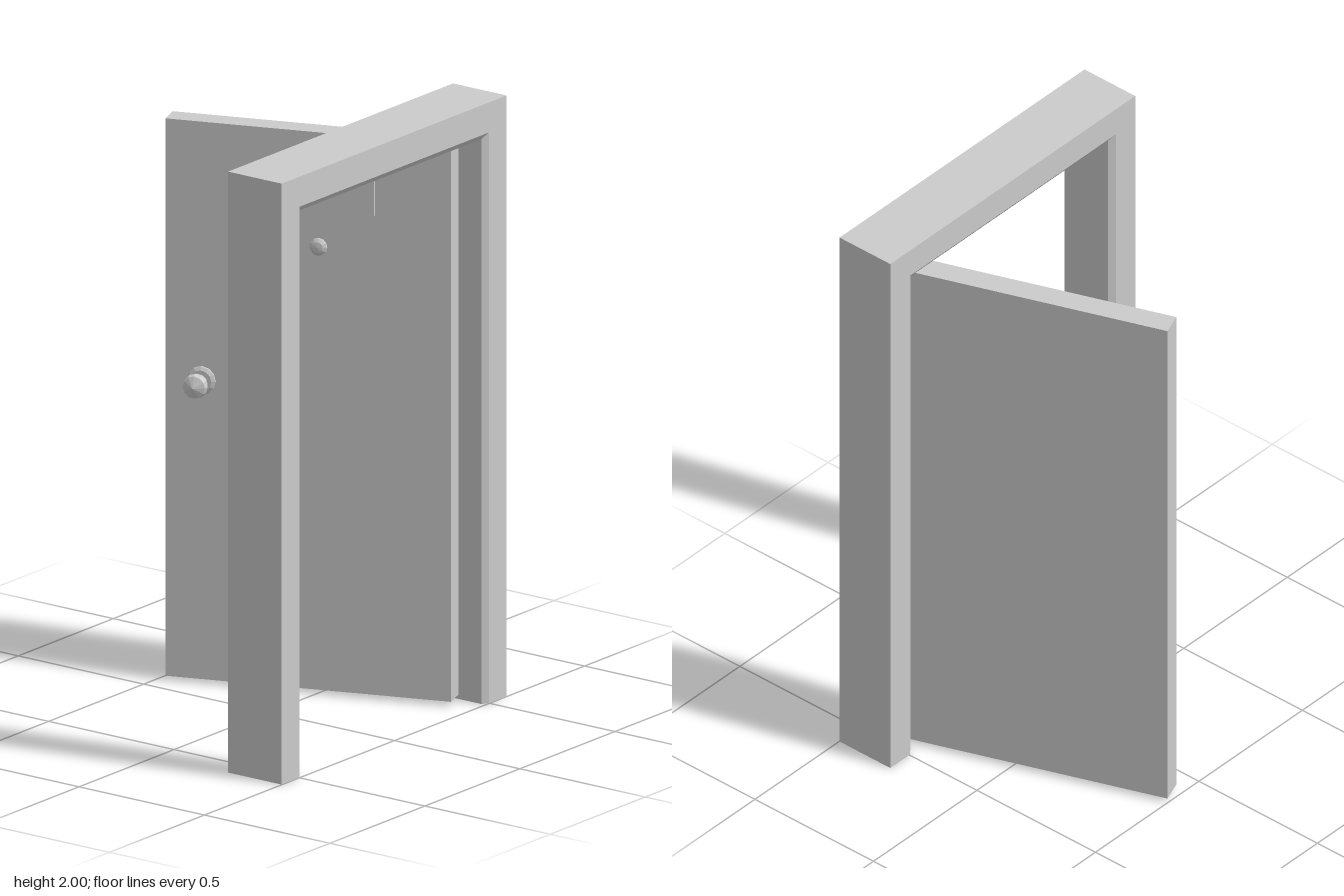
import * as THREE from 'three';

const material = new THREE.MeshStandardMaterial({ color: 0xcccccc, flatShading: true });

function addPart(parent, name, geometry, x = 0, y = 0, z = 0) {
  const mesh = new THREE.Mesh(geometry, material);
  mesh.name = name;
  mesh.position.set(x, y, z);
  parent.add(mesh);
  return mesh;
}

// Turned part whose axis points along +z; profile is [radius, height] pairs.
function turned(profile, sides) {
  const points = profile.map(([r, h]) => new THREE.Vector2(r, h));
  return new THREE.LatheGeometry(points, sides).rotateX(Math.PI / 2);
}

// U-shaped jamb with chamfered inner edges on both faces.
function frameGeometry() {
  const outer = 0.592, inner = 0.498, top = 2, head = 1.9;
  const depth = 0.214, chamferZ = 0.015, chamfer = 0.02;
  const shape = new THREE.Shape([
    [-outer, 0], [-inner, 0], [-inner, head], [inner, head],
    [inner, 0], [outer, 0], [outer, top], [-outer, top],
  ].map(([x, y]) => new THREE.Vector2(x, y)));
  const geometry = new THREE.ExtrudeGeometry(shape, { depth, steps: 3, bevelEnabled: false });
  const levels = [0, chamferZ, depth - chamferZ, depth];
  const p = geometry.attributes.position;
  for (let i = 0; i < p.count; i++) {
    const level = Math.round((p.getZ(i) / depth) * 3);
    p.setZ(i, levels[level]);
    // Push the inner edges into the opening between the two chamfers.
    if ((level === 1 || level === 2) && Math.abs(p.getX(i)) < 0.55) {
      p.setX(i, p.getX(i) - Math.sign(p.getX(i)) * chamfer);
      if (p.getY(i) > 1) p.setY(i, p.getY(i) - chamfer);
    }
  }
  geometry.computeVertexNormals();
  return geometry;
}

export function createModel() {
  const model = new THREE.Group();
  model.name = 'openDoor';

  addPart(model, 'doorFrame', frameGeometry(), 0, 0, 0.285);

  // Door leaf swung open: local +x runs to the hinge, local +z is the fitted face.
  const door = new THREE.Group();
  door.name = 'door';
  door.position.set(0.275, 0, -0.038);
  door.rotation.y = THREE.MathUtils.degToRad(-70);
  model.add(door);

  const face = 0.04;
  addPart(door, 'doorLeaf', new THREE.BoxGeometry(0.95, 1.855, 2 * face), 0, 0.9425, 0);
  addPart(door, 'namePlate', new THREE.BoxGeometry(0.376, 0.148, 0.02), 0.034, 1.685, face);

  // Peephole
  addPart(door, 'peephole', turned([[0, 0], [0.029, 0], [0.029, 0.007], [0.018, 0.014], [0, 0.016]], 12),
    0.035, 1.49, face);

  // Knob: backplate, stem and handle
  const knob = new THREE.Group();
  knob.name = 'knob';
  knob.position.set(-0.354, 1.01, face);
  door.add(knob);
  addPart(knob, 'knobBackplate', turned([[0, 0], [0.047, 0], [0.047, 0.007], [0.036, 0.013], [0, 0.013]], 12));
  addPart(knob, 'knobStem', turned([[0.02, 0.01], [0.02, 0.04]], 12));
  addPart(knob, 'knobHandle', turned([[0, 0.034], [0.03, 0.034], [0.041, 0.067], [0.037, 0.085], [0, 0.1]], 12));

  return model;
}
